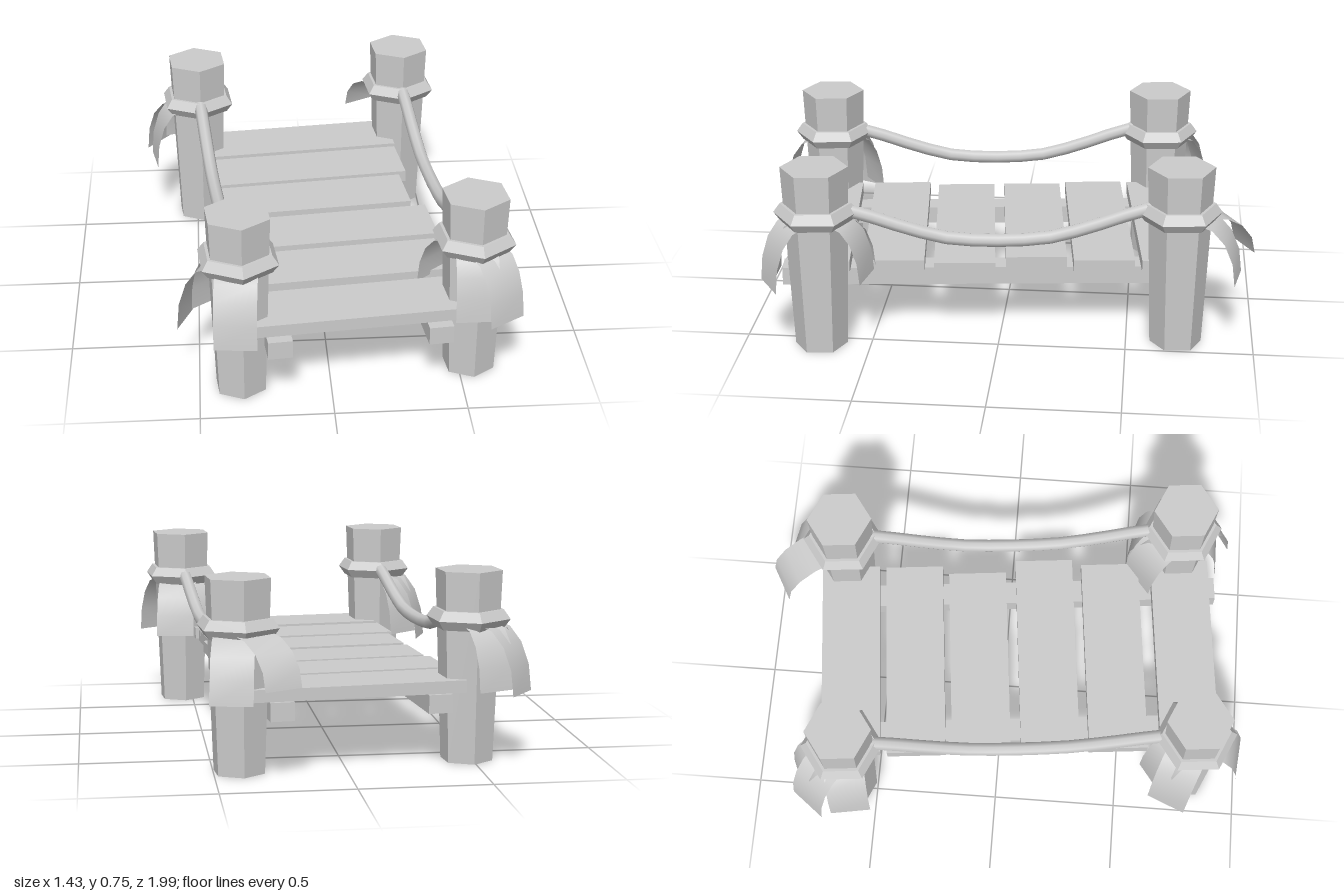
import * as THREE from 'three';

const material = new THREE.MeshStandardMaterial({ color: 0xcccccc, flatShading: true });
const ropeMaterial = new THREE.MeshStandardMaterial({ color: 0xcccccc });
const leafMaterial = new THREE.MeshStandardMaterial({ color: 0xcccccc, side: THREE.DoubleSide });

const TURN = 0.1; // the whole bridge is turned slightly
const HALF_W = 0.445;
const HALF_L = 0.7;

function addMesh(parent, name, geometry, mat = material) {
  const mesh = new THREE.Mesh(geometry, mat);
  mesh.name = name;
  parent.add(mesh);
  return mesh;
}

// A strip that leaves the post sideways and curves down
function leafGeometry(reach, bottom, width = 0.16) {
  const geometry = new THREE.PlaneGeometry(width, 1, 1, 4);
  const p = geometry.attributes.position;
  const top = 0.54;
  for (let i = 0; i < p.count; i++) {
    const a = (0.5 - p.getY(i)) * Math.PI / 2;
    p.setY(i, top - (top - bottom) * (1 - Math.cos(a)));
    p.setZ(i, 0.08 + (reach - 0.08) * Math.sin(a));
  }
  geometry.computeVertexNormals();
  return geometry;
}

// Tapered six-sided post with a bevelled collar and hanging leaves
function makePost(name, height, leaves) {
  const post = new THREE.Group();
  post.name = name;
  addMesh(post, 'postShaft', new THREE.CylinderGeometry(0.13, 0.102, height, 6)).position.y = height / 2;
  const y = height - 0.185;
  const profile = [[0.1, -0.036], [0.137, -0.036], [0.163, 0], [0.137, 0.036], [0.1, 0.036]];
  const collar = new THREE.LatheGeometry(profile.map(([r, h]) => new THREE.Vector2(r, y + h)), 6);
  addMesh(post, 'postCollar', collar);
  for (const [angle, reach, bottom] of leaves) {
    addMesh(post, 'leaf', leafGeometry(reach, bottom), leafMaterial).rotation.y = angle - TURN;
  }
  return post;
}

export function createModel() {
  const model = new THREE.Group();
  model.name = 'bridge';
  const bridge = new THREE.Group();
  bridge.name = 'bridgeBody';
  bridge.position.set(0.03, 0, 0.045);
  bridge.rotation.y = TURN;
  model.add(bridge);

  // Posts: name, side, end, height, leaves as [direction, reach, bottom height]
  const posts = [
    ['frontRightPost', -1, 1, 0.747, [[-0.1, 0.2, 0.285], [-1.97, 0.22, 0.25], [-2.5, 0.19, 0.28]]],
    ['frontLeftPost', 1, 1, 0.747, [[0.57, 0.207, 0.29], [0, 0.165, 0.29], [-2.46, 0.21, 0.31], [2.95, 0.2, 0.31]]],
    ['backRightPost', -1, -1, 0.738, [[-2.24, 0.23, 0.28], [-2.75, 0.2, 0.3], [-1.4, 0.2, 0.28]]],
    ['backLeftPost', 1, -1, 0.738, [[-2.64, 0.295, 0.36], [2.95, 0.235, 0.3]]],
  ];
  for (const [name, side, end, height, leaves] of posts) {
    const post = makePost(name, height, leaves);
    post.position.set(side * HALF_W, 0, end * HALF_L);
    bridge.add(post);
  }

  // Planks: width, x offset, z
  const planks = [
    [0.82, 0, -0.684], [0.82, -0.007, -0.416], [0.766, -0.015, -0.15],
    [0.814, 0.012, 0.132], [0.814, -0.013, 0.41], [0.82, -0.01, 0.703],
  ];
  for (const [width, x, z] of planks) {
    addMesh(bridge, 'plank', new THREE.BoxGeometry(width, 0.048, 0.24)).position.set(x, 0.306, z);
  }

  // Beams under the planks
  for (const x of [-0.313, 0.297]) {
    addMesh(bridge, 'beam', new THREE.BoxGeometry(0.093, 0.072, 1.645)).position.set(x, 0.24, 0.032);
  }

  // Sagging ropes between the collars
  const sag = [[-0.68, 0.595], [-0.52, 0.55], [-0.36, 0.495], [-0.18, 0.447],
    [0.18, 0.447], [0.36, 0.495], [0.52, 0.55], [0.68, 0.595]];
  for (const side of [-1, 1]) {
    const curve = new THREE.CatmullRomCurve3(sag.map(([z, y]) => new THREE.Vector3(side * HALF_W, y, z)));
    addMesh(bridge, 'rope', new THREE.TubeGeometry(curve, 14, 0.027, 8), ropeMaterial);
  }
  return model;
}
